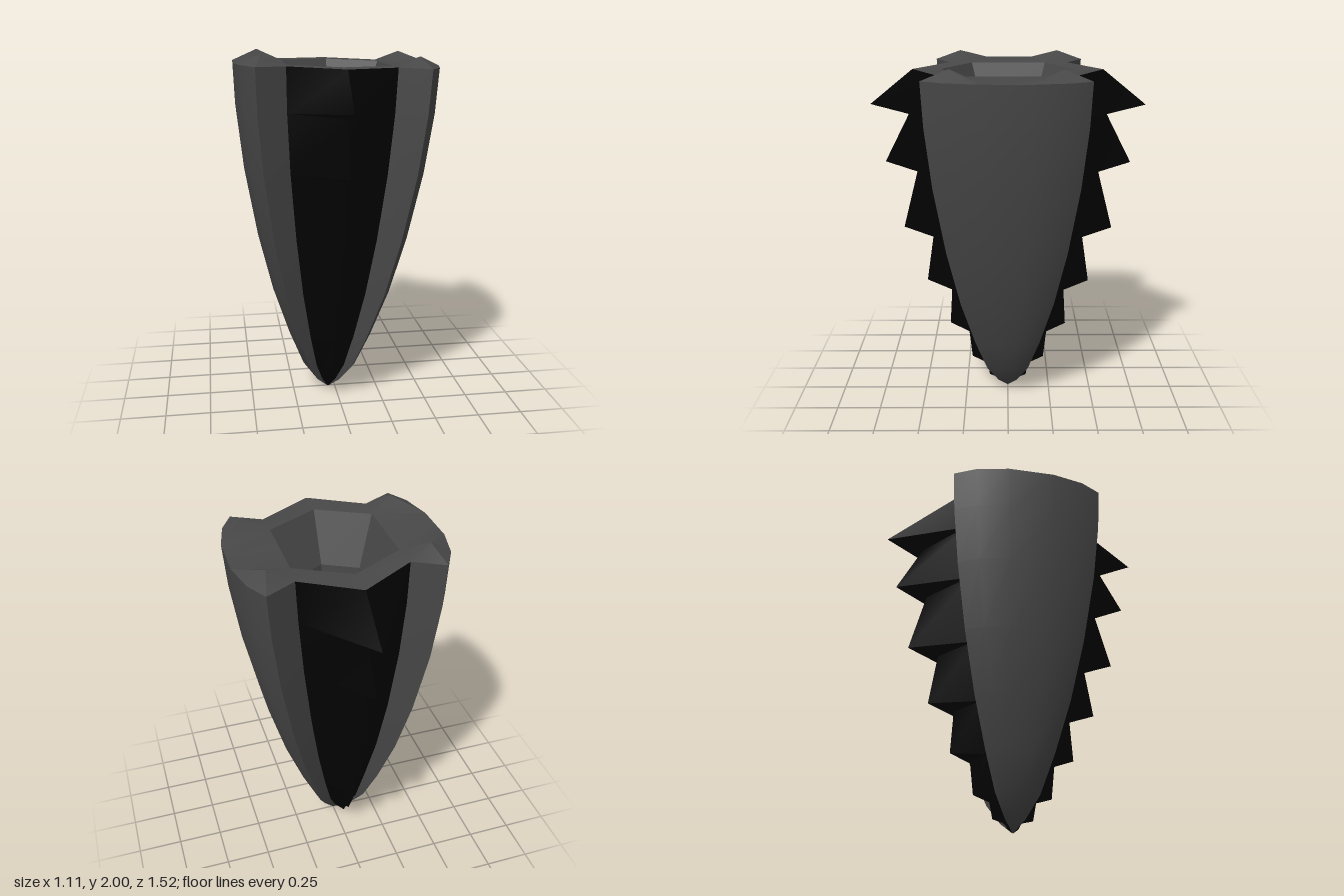
import * as THREE from 'three';
import { toCreasedNormals } from 'three/addons/utils/BufferGeometryUtils.js';

const shellMat = new THREE.MeshStandardMaterial({ color: 0x484848, side: THREE.DoubleSide });
const darkMat = new THREE.MeshStandardMaterial({ color: 0x020202, side: THREE.DoubleSide });

function meshFrom(name, pos, mat, crease) {
  const g = new THREE.BufferGeometry();
  g.setAttribute('position', new THREE.Float32BufferAttribute(pos, 3));
  const m = new THREE.Mesh(toCreasedNormals(g, crease), mat);
  m.name = name;
  return m;
}

// Skin a list of cross-sections, top row first, points left to right as seen
function loft(name, rows, mat, crease) {
  const pos = [];
  for (let r = 0; r < rows.length - 1; r++) {
    for (let i = 0; i < rows[r].length - 1; i++) {
      const a = rows[r][i], b = rows[r][i + 1], c = rows[r + 1][i], d = rows[r + 1][i + 1];
      pos.push(...a, ...c, ...b, ...b, ...c, ...d);
    }
  }
  return meshFrom(name, pos, mat, crease);
}

// Body taper: [height, scale, inner ridge depth, flared ridge depth, flared ridge height]
const TOP = 1.935;
const LEVELS = [
  [TOP, 1, 0.52, 0.76, 1.743],
  [1.695, 0.975, 0.545, 0.69, 1.418],
  [1.37, 0.9, 0.51, 0.6, 1.028],
  [0.99, 0.766, 0.43, 0.475, 0.697],
  [0.66, 0.61, 0.33, 0.345, 0.417],
  [0.38, 0.435, 0.235, 0.215, 0.192],
  [0.175, 0.28, 0.13, 0.11, 0.067],
  [0.06, 0.13, 0.05, 0.03, 0.02],
  [0.0, 0.01, 0.005, 0.005, 0],
];
const NOTCH = [0.29, 0.34], CORNER = [0.45, 0.43], MID = [0.515, 0.31], SIDE = [0.555, 0.13];

export function createModel() {
  const model = new THREE.Group();
  model.name = 'taperedShell';
  const body = new THREE.Group();
  body.name = 'body';
  model.add(body);

  // Smooth curved plates on both sides
  const half = [NOTCH, CORNER, MID, SIDE];
  const plate = [...half, ...half.map(([x, z]) => [x, -z]).reverse()];
  const plateRows = LEVELS.map(([y, s]) => plate.map(([x, z]) => [x * s, y, z * s]));

  // Overlapping flared scales: each row steps out, then back to the body
  const ridgeRows = [];
  LEVELS.forEach(([y, s, inner, outer, outY], i) => {
    const row = (t, h, apexY, apexZ) => [
      [-NOTCH[0] * t, h, NOTCH[1] * t], [0, apexY, apexZ], [NOTCH[0] * t, h, NOTCH[1] * t]];
    ridgeRows.push(row(s, y, y, inner));
    const next = LEVELS[i + 1];
    if (next) ridgeRows.push(row(next[1], next[0], outY, outer));
  });

  for (const side of [0, 1]) {
    const shield = loft(side ? 'rightPlate' : 'leftPlate', plateRows, shellMat, 0.5);
    const scales = loft(side ? 'backScales' : 'frontScales', ridgeRows, darkMat, 0.9);
    shield.rotation.y = scales.rotation.y = side * Math.PI;
    body.add(shield, scales);
  }

  // Top rim: one quarter, mirrored to all four, with a raised peak near each corner
  const at = ([x, z], y = TOP) => [x, y, z];
  const N = at(NOTCH), C = at(CORNER), M = at(MID), S = at(SIDE), P = at([0.415, 0.285], 1.99);
  const A = at([0, 0.52]), H0 = at([0, 0.365]), H1 = at([0.28, 0.21]);
  const S0 = at([0.555, 0]), H2 = at([0.28, 0]);
  const quarter = [
    [H0, A, N], [H0, N, H1], [H1, N, P], [N, C, P], [P, C, M],
    [P, M, S], [H1, P, S], [H1, S, S0], [H1, S0, H2],
  ];
  const rim = [];
  for (const sx of [1, -1]) for (const sz of [1, -1]) {
    for (const tri of quarter) {
      const t = sx * sz > 0 ? tri : [...tri].reverse();
      for (const [x, y, z] of t) rim.push(x * sx, y, z * sz);
    }
  }
  body.add(meshFrom('topRim', rim, shellMat, 0.55));

  // Six-sided hollow: sloping mouth, steep throat and a pointed floor
  const hex = [[0, 0.365], [-0.28, 0.21], [-0.28, -0.21], [0, -0.365], [0.28, -0.21], [0.28, 0.21], [0, 0.365]];
  const hollow = [[TOP, 1], [1.66, 0.67], [1.2, 0.58], [0.85, 0.24], [0.75, 0.01]];
  const hollowRows = hollow.map(([y, s]) => hex.map(([x, z]) => [x * s, y, z * s]));
  body.add(loft('hollow', hollowRows, shellMat, 0.2));

  // Slight lean and twist of the whole body
  body.rotation.set(0, -0.017, -0.02);
  body.position.x = -0.04;
  return model;
}
